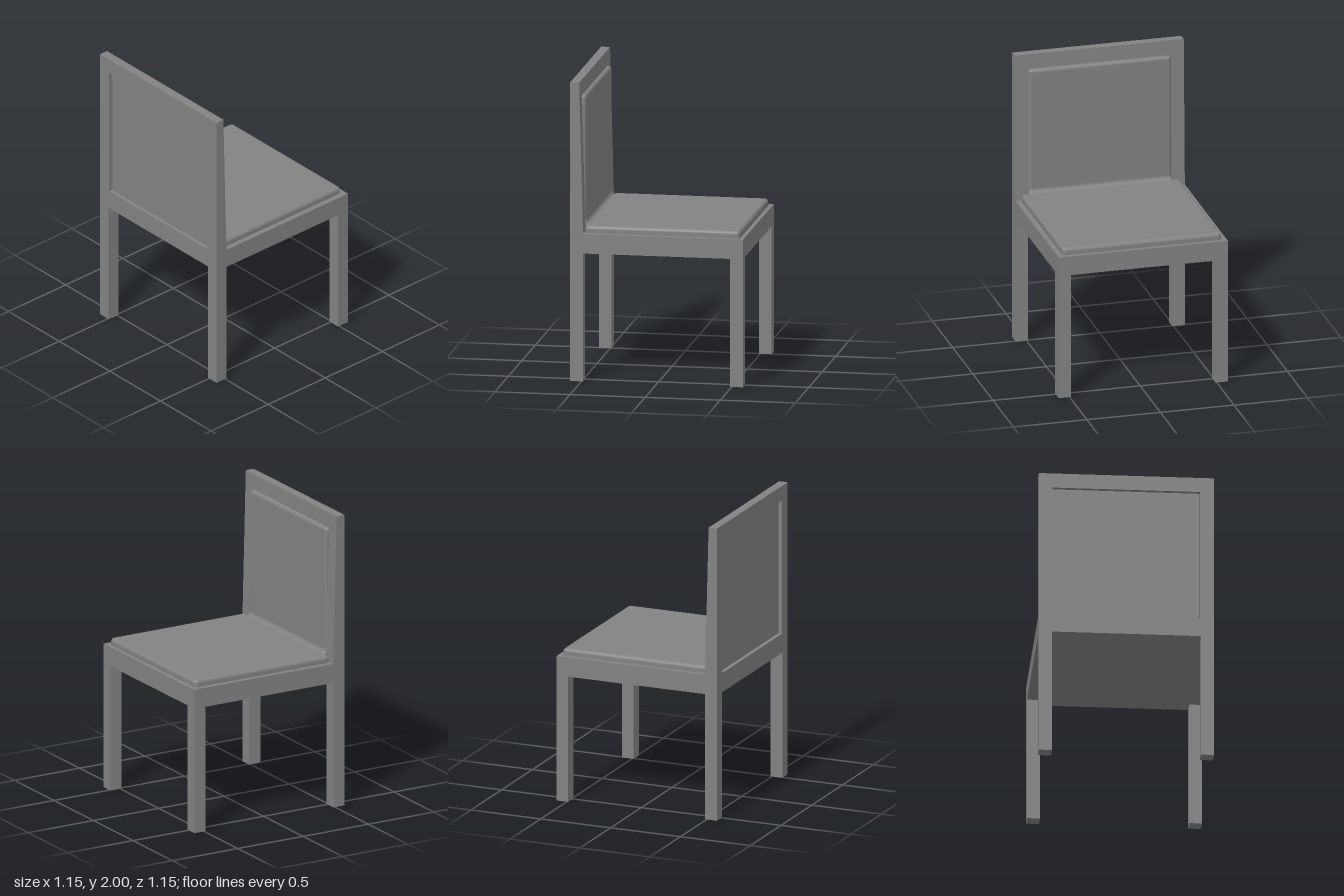
import * as THREE from 'three';
import { RoundedBoxGeometry } from 'three/addons/geometries/RoundedBoxGeometry.js';

const material = new THREE.MeshStandardMaterial({ color: 0x828282 });
const HALF = 0.575, LEG = 0.085, APRON_Y = 0.857, SEAT_Y = 0.988, TOP = 2;
const OPEN_X = 0.485, OPEN_TOP = 1.898, BACK_Z = 0.486, SEAT_TOP = 1.036;

export function createModel() {
  const chair = new THREE.Group();
  chair.name = 'chair';

  const add = (name, geometry, x = 0, y = 0, z = 0) => {
    const mesh = new THREE.Mesh(geometry, material);
    mesh.name = name;
    mesh.position.set(x, y, z);
    chair.add(mesh);
  };

  // Four square legs
  const legPos = HALF - LEG / 2;
  for (const [side, sx] of [['left', 1], ['right', -1]])
    for (const [end, sz] of [['Back', 1], ['Front', -1]])
      add(`${side}${end}Leg`, new THREE.BoxGeometry(LEG, APRON_Y, LEG), sx * legPos, APRON_Y / 2, sz * legPos);

  // Solid seat base
  add('seatBase', new THREE.BoxGeometry(2 * HALF, SEAT_Y - APRON_Y, 2 * HALF), 0, (SEAT_Y + APRON_Y) / 2, 0);

  // Backrest frame: an arch whose inner face leans back towards the top
  const arch = new THREE.Shape();
  arch.moveTo(-HALF, SEAT_Y).lineTo(-OPEN_X, SEAT_Y).lineTo(-OPEN_X, OPEN_TOP).lineTo(OPEN_X, OPEN_TOP)
    .lineTo(OPEN_X, SEAT_Y).lineTo(HALF, SEAT_Y).lineTo(HALF, TOP).lineTo(-HALF, TOP).closePath();
  const frame = new THREE.ExtrudeGeometry(arch, { depth: HALF, bevelEnabled: false });
  const p = frame.attributes.position;
  for (let i = 0; i < p.count; i++)
    if (p.getZ(i) < 0.01) p.setZ(i, 0.489 + 0.026 * (p.getY(i) - SEAT_Y) / (TOP - SEAT_Y));
  frame.computeVertexNormals();
  add('backFrame', frame);

  // Recessed panel with softened edges, closing the opening from behind
  add('backPanel', new RoundedBoxGeometry(2 * OPEN_X, OPEN_TOP - SEAT_Y, 0.03, 3, 0.006), 0, (OPEN_TOP + SEAT_Y) / 2, 0.537);

  // Padded seat and back, their lower edges sunk into the seat base
  add('seatCushion', new RoundedBoxGeometry(1.08, 0.075, 1.033, 5, 0.024), 0, SEAT_TOP - 0.0375, -0.0315);
  add('backCushion', new RoundedBoxGeometry(2 * OPEN_X, 0.925, 0.06, 5, 0.022), 0, OPEN_TOP - 0.4625, BACK_Z + 0.03);

  // Concave roll joining the two cushions, with bevelled ends
  const R = 0.03, SUNK = 0.03, BEVEL = 0.015, LENGTH = 0.97;
  const roll = new THREE.Shape();
  roll.moveTo(-BACK_Z - SUNK, SEAT_TOP - SUNK).lineTo(-BACK_Z + R, SEAT_TOP - SUNK).lineTo(-BACK_Z + R, SEAT_TOP)
    .absarc(-BACK_Z + R, SEAT_TOP + R, R, 1.5 * Math.PI, Math.PI, true)
    .lineTo(-BACK_Z - SUNK, SEAT_TOP + R).closePath();
  const rollGeo = new THREE.ExtrudeGeometry(roll, {
    depth: LENGTH - 2 * BEVEL, curveSegments: 10,
    bevelThickness: BEVEL, bevelSize: BEVEL, bevelOffset: -BEVEL, bevelSegments: 4,
  });
  rollGeo.rotateY(Math.PI / 2);
  add('cushionRoll', rollGeo, BEVEL - LENGTH / 2);

  return chair;
}
